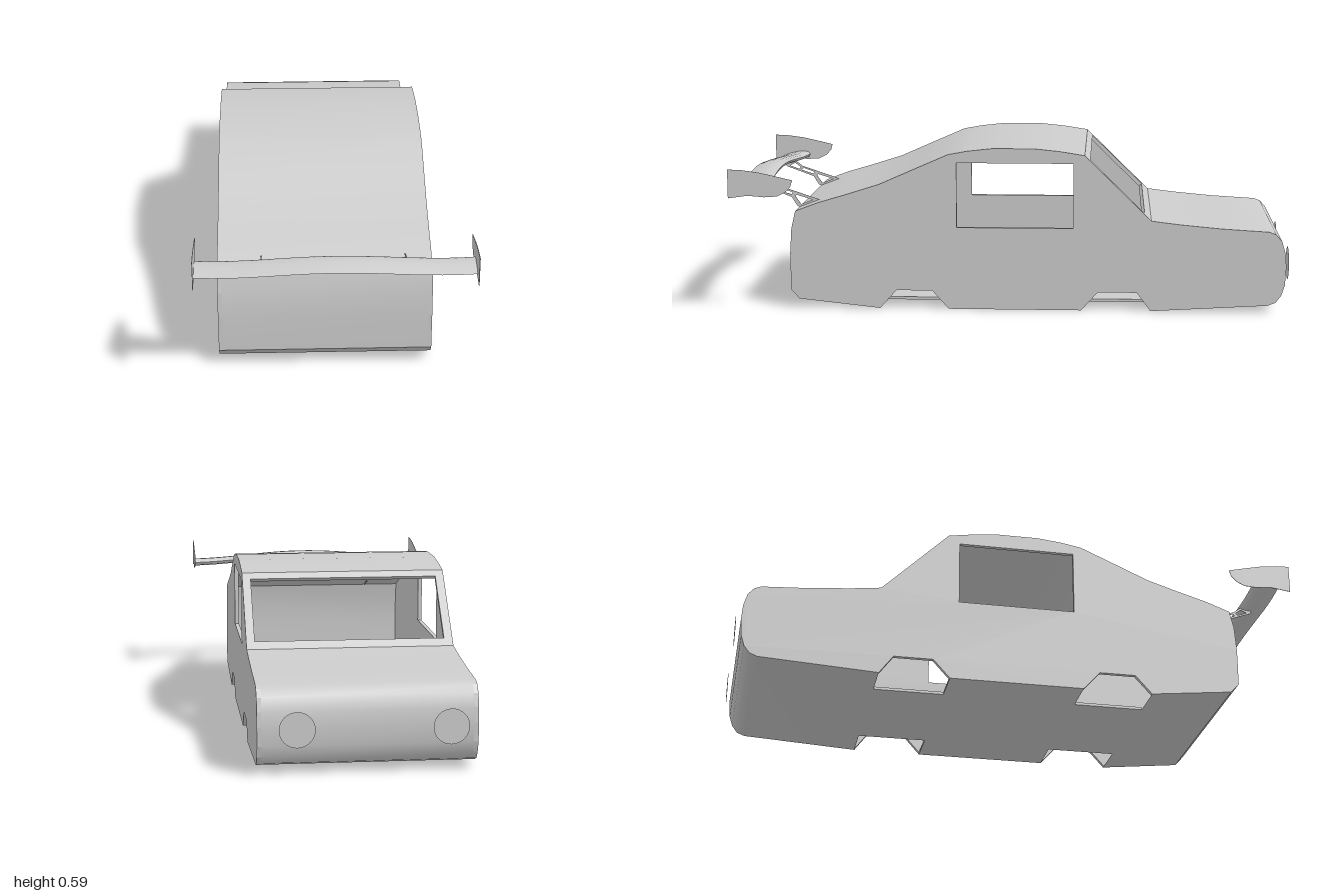
import * as THREE from 'three';
import { toCreasedNormals } from 'three/addons/utils/BufferGeometryUtils.js';

const grey = new THREE.MeshStandardMaterial({ color: 0xcccccc, side: THREE.DoubleSide });
const X0 = -0.395, X1 = 0.335; // body sides
const WALL = 0.015;

function add(parent, name, geometry) {
  const mesh = new THREE.Mesh(geometry, grey);
  mesh.name = name;
  parent.add(mesh);
  return mesh;
}

const toShape = (pts) => new THREE.Shape(pts.map(([a, b]) => new THREE.Vector2(a, b)));
const toPath = (pts) => new THREE.Path(pts.map(([a, b]) => new THREE.Vector2(a, b)));
const rect = (a0, b0, a1, b1) => [[a0, b0], [a1, b0], [a1, b1], [a0, b1]];

function extrude(pts, holes, depth) {
  const shape = toShape(pts);
  holes.forEach((h) => shape.holes.push(toPath(h)));
  return new THREE.ExtrudeGeometry(shape, { depth, bevelEnabled: false });
}

// Plate drawn in (z, y), with its thickness running from x to x + depth
function sidePlate(pts, holes, x, depth) {
  return extrude(pts, holes, depth).rotateY(-Math.PI / 2).translate(x + depth, 0, 0);
}

// Surface through matching cross-sections, each a list of [x, y, z]
function loft(rings, crease) {
  const n = rings[0].length;
  const index = [];
  for (let j = 0; j < rings.length - 1; j++) {
    for (let i = 0; i < n - 1; i++) {
      const a = j * n + i, b = a + n;
      index.push(a, b, b + 1, a, b + 1, a + 1);
    }
  }
  const geometry = new THREE.BufferGeometry();
  geometry.setAttribute('position', new THREE.Float32BufferAttribute(rings.flat(2), 3));
  geometry.setIndex(index);
  return toCreasedNormals(geometry, crease);
}

// Body outline as [z, y]: tail and roof, then bonnet and nose
const tailAndRoof = [
  [0.48, 0], [0.775, 0.032], [0.805, 0.065], [0.806, 0.2], [0.8, 0.29], [0.785, 0.355],
  [0.7, 0.387], [0.6, 0.417], [0.48, 0.455], [0.36, 0.508], [0.23, 0.565], [0.16, 0.578],
  [0.07, 0.588], [-0.08, 0.588], [-0.17, 0.579], [-0.26, 0.565],
];
const bonnetAndNose = [
  [-0.5, 0.33], [-0.6, 0.318], [-0.75, 0.304], [-0.92, 0.294], [-0.945, 0.285], [-0.967, 0.26],
  [-0.98, 0.215], [-0.984, 0.165], [-0.98, 0.1], [-0.968, 0.062], [-0.948, 0.036], [-0.92, 0.025], [-0.5, 0],
];
const arches = [
  [-0.45, 0.067], [-0.31, 0.067], [-0.25, 0], [0.23, 0], [0.29, 0.067], [0.42, 0.067],
];

function buildBody() {
  const body = new THREE.Group();
  body.name = 'body';

  // Side walls with window openings and wheel arch cutouts
  const outline = [...tailAndRoof, ...bonnetAndNose, ...arches];
  const windowHole = rect(-0.22, 0.3, 0.2, 0.535);
  add(body, 'rightWall', sidePlate(outline, [windowHole], X0, WALL));
  add(body, 'leftWall', sidePlate(outline, [windowHole], X1 - WALL, WALL));

  // Curved outer skin
  const skin = (pts) => loft([X0, X1].map((x) => pts.map(([z, y]) => [x, y, z])), 0.56);
  add(body, 'tailAndRoof', skin(tailAndRoof));
  add(body, 'bonnetAndNose', skin(bonnetAndNose));

  // Sloping windscreen frame
  const rise = 0.235, run = 0.24, length = Math.hypot(rise, run);
  const frame = extrude(rect(X0, 0, X1, length),
    [rect(X0 + 0.03, 0.034, X1 - 0.03, length - 0.028)], WALL);
  const up = new THREE.Vector3(0, rise, run).normalize();
  const right = new THREE.Vector3(1, 0, 0);
  const slope = new THREE.Matrix4().makeBasis(right, up, right.clone().cross(up));
  slope.setPosition(0, 0.33, -0.5);
  add(body, 'windscreenFrame', frame.applyMatrix4(slope));

  // Floor, cut away at the four wheels, drawn in (x, z)
  const inL = -0.25, inR = 0.19;
  const floor = extrude([
    [X0, -0.25], [inL, -0.25], [inL, -0.5], [inR, -0.5], [inR, -0.25], [X1, -0.25],
    [X1, 0.23], [inR, 0.23], [inR, 0.48], [inL, 0.48], [inL, 0.23], [X0, 0.23],
  ], [], 0.01);
  add(body, 'floor', floor.rotateX(Math.PI / 2).translate(0, 0.01, 0));

  return body;
}

function buildWing() {
  const wing = new THREE.Group();
  wing.name = 'rearWing';

  // Bowed blade: aerofoil section [z, y] swept across the car
  const section = [
    [0.985, 0.469], [0.962, 0.477], [0.935, 0.483], [0.908, 0.485], [0.892, 0.481], [0.885, 0.473],
    [0.89, 0.463], [0.908, 0.457], [0.935, 0.455], [0.965, 0.459], [0.985, 0.469],
  ];
  const half = 0.466, steps = 32;
  const rings = [];
  for (let i = 0; i <= steps; i++) {
    const t = (i / steps) * 2 - 1;
    const drop = 0.0125 * (1 - Math.cos(Math.PI * t));
    rings.push(section.map(([z, y]) => [t * half, y - drop, z - 0.025 * t * t]));
  }
  add(wing, 'blade', loft(rings, 1));

  // End plates and truss supports, mirrored
  const endPlate = [
    [1, 0.525], [0.95, 0.523], [0.89, 0.515], [0.83, 0.502], [0.77, 0.488], [0.776, 0.466],
    [0.795, 0.445], [0.825, 0.43], [0.87, 0.427], [0.93, 0.432], [1, 0.422],
  ];
  const support = [
    [0.925, 0.44], [0.885, 0.455], [0.855, 0.432], [0.71, 0.383], [0.715, 0.376],
    [0.782, 0.354], [0.792, 0.36], [0.812, 0.392], [0.915, 0.43],
  ];
  const cutouts = [
    [[0.735, 0.382], [0.778, 0.365], [0.799, 0.396], [0.793, 0.4]],
    [[0.812, 0.401], [0.858, 0.416], [0.85, 0.424], [0.808, 0.409]],
    [[0.868, 0.42], [0.905, 0.433], [0.883, 0.444], [0.862, 0.428]],
  ];
  for (const [side, label] of [[-1, 'right'], [1, 'left']]) {
    add(wing, label + 'EndPlate', sidePlate(endPlate, [], side * 0.466 - 0.001, 0.002));
    add(wing, label + 'Support', sidePlate(support, cutouts, side * 0.245 - 0.0015, 0.003));
  }
  return wing;
}

export function createModel() {
  const model = new THREE.Group();
  model.name = 'car';
  model.add(buildBody(), buildWing());

  // Flat round headlights just ahead of the nose
  for (const x of [-0.302, 0.205]) {
    const lamp = add(model, 'headlight', new THREE.CircleGeometry(0.06, 32));
    lamp.rotation.y = Math.PI;
    lamp.position.set(x, 0.157, -1);
  }
  return model;
}
